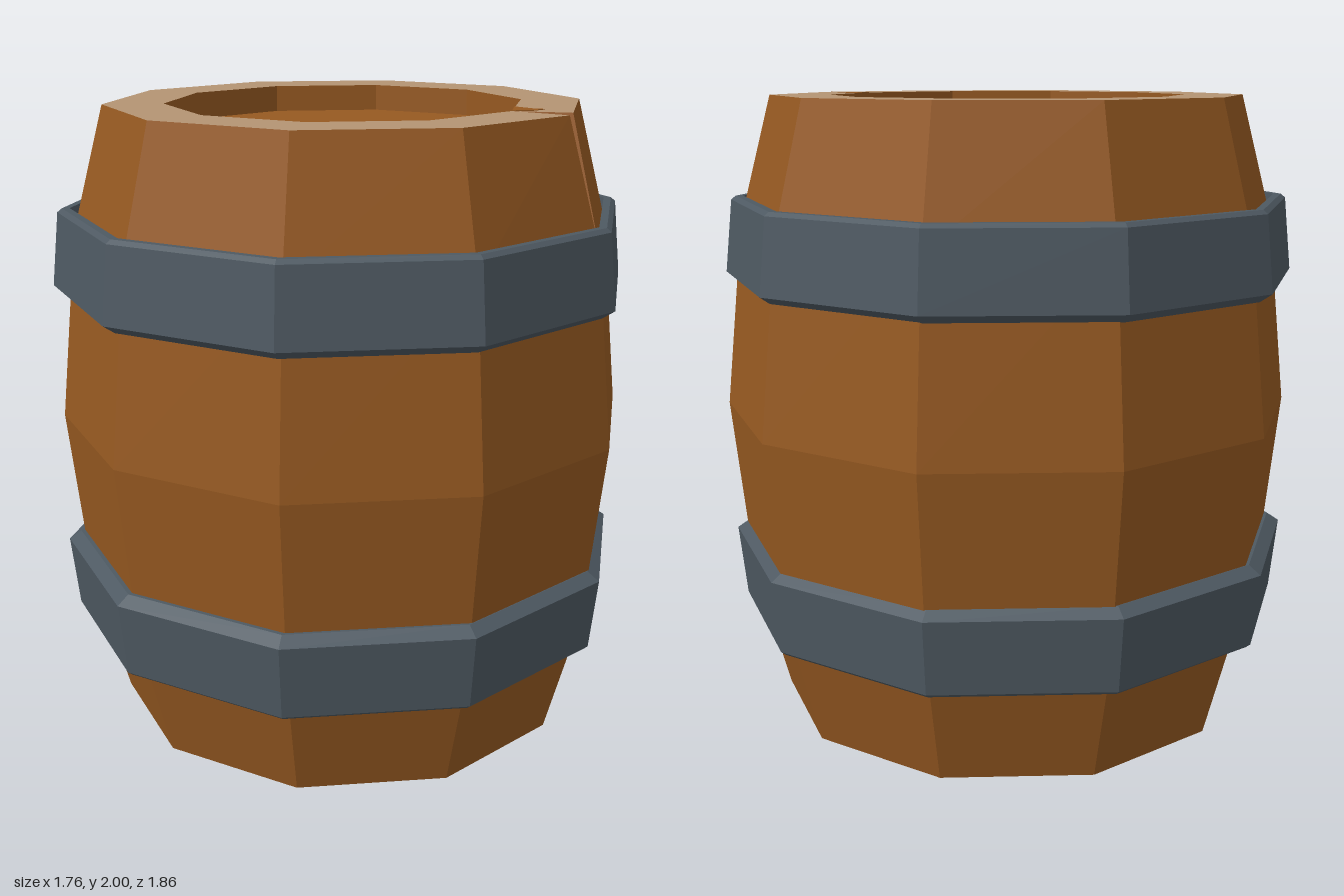
import * as THREE from 'three';

const SIDES = 10;
const NOTCH = 3; // corner where the top rim is split

const mat = (name, color) => {
  const m = new THREE.MeshStandardMaterial({ color });
  m.name = name;
  return m;
};

const corner = (k, r, y) => {
  const a = (k * Math.PI * 2) / SIDES;
  return [r * Math.sin(a), y, r * Math.cos(a)];
};

// Flat-shaded mesh from a list of triangle corners
function facets(name, points, material) {
  const g = new THREE.BufferGeometry();
  g.setAttribute('position', new THREE.Float32BufferAttribute(points.flat(), 3));
  g.computeVertexNormals();
  const mesh = new THREE.Mesh(g, material);
  mesh.name = name;
  return mesh;
}

// Sweep a profile of [radius, y] around the axis; point() may move single corners
function ring(profile, point = corner) {
  const tris = [];
  for (let i = 0; i + 1 < profile.length; i++) {
    const [r0, y0] = profile[i], [r1, y1] = profile[i + 1];
    for (let k = 0; k < SIDES; k++) {
      const a = point(k, r0, y0, 'start'), b = point(k + 1, r0, y0, 'end');
      const c = point(k + 1, r1, y1, 'end'), d = point(k, r1, y1, 'start');
      if (r0 > 0) tris.push(a, b, c);
      if (r1 > 0) tris.push(a, c, d);
      else if (r0 === 0) continue;
    }
  }
  return tris;
}

export function createModel() {
  const wood = mat('brown wood', 0x965921);
  const cutWood = mat('pale cut wood', 0xb49473);
  const iron = mat('dark iron', 0x4e5962);

  const model = new THREE.Group();
  model.name = 'barrel';
  const body = new THREE.Group();
  body.name = 'woodenBody';
  body.position.z = -0.008;
  model.add(body);

  const R_TOP = 0.755, R_IN = 0.565, R_HOOP = 0.862, INSET = 0.085;

  // The split: the outer top corner is pulled apart into two points
  const splitBack = [0.69, 2, -0.272];
  const splitFront = [0.725, 2, -0.212];
  const splitPoint = (k, r, y, end) => {
    if (k === NOTCH && r === R_TOP && y === 2) return end === 'end' ? splitFront : splitBack;
    return corner(k, r, y);
  };

  // Staves
  body.add(facets('staves', ring(
    [[R_TOP, 0], [R_HOOP, 0.4], [0.925, 1], [R_HOOP, 1.6], [R_TOP, 2]], splitPoint), wood));

  // Rims
  body.add(facets('topRim', ring([[R_TOP, 2], [R_IN, 2]], splitPoint), cutWood));
  body.add(facets('bottomRim', ring([[R_IN, 0], [R_TOP, 0]]), cutWood));

  // Recessed lids with their short inner walls
  body.add(facets('topLid', ring([[R_IN, 2], [R_IN, 2 - INSET], [0, 2 - INSET]]), wood));
  body.add(facets('bottomLid', ring([[0, INSET], [R_IN, INSET], [R_IN, 0]]), wood));

  // Two faces of the V-shaped split
  const apex = corner(NOTCH, R_IN, 2), foot = corner(NOTCH, R_HOOP, 1.6);
  body.add(facets('splitFaces', [apex, foot, splitBack, apex, splitFront, foot], wood));

  // Splintered patches beside the split, on both rims
  const splinter = (name, y, s) => {
    const pts = [[0.537, 0.177], [0.565, 0.212], [0.585, 0.24], [0.57, 0.252],
      [0.58, 0.275], [0.56, 0.277], [0.545, 0.264], [0.47, 0.265]];
    const shape = new THREE.Shape(pts.map(([x, z]) =>
      new THREE.Vector2(0.537 + (x - 0.537) * s, 0.177 + (z - 0.177) * s)));
    const g = new THREE.ExtrudeGeometry(shape, { depth: 0.004, bevelEnabled: false });
    g.rotateX(-Math.PI / 2);
    const mesh = new THREE.Mesh(g, wood);
    mesh.name = name;
    mesh.position.y = y;
    body.add(mesh);
  };
  splinter('topSplinter', 1.998, 1);
  splinter('bottomSplinter', -0.002, 0.6);

  // Iron hoops, tapered away from the belly, the lower one mirrored
  const hoop = [[0.84, 1.41], [0.885, 1.41], [0.925, 1.437], [0.9, 1.67],
    [0.885, 1.682], [0.861, 1.682], [0.84, 1.41]];
  const lower = hoop.map(([r, y]) => [r, 2 - y]).reverse();
  for (const [name, profile] of [['upperHoop', hoop], ['lowerHoop', lower]]) {
    const mesh = facets(name, ring(profile), iron);
    mesh.position.z = 0.003;
    model.add(mesh);
  }

  return model;
}
